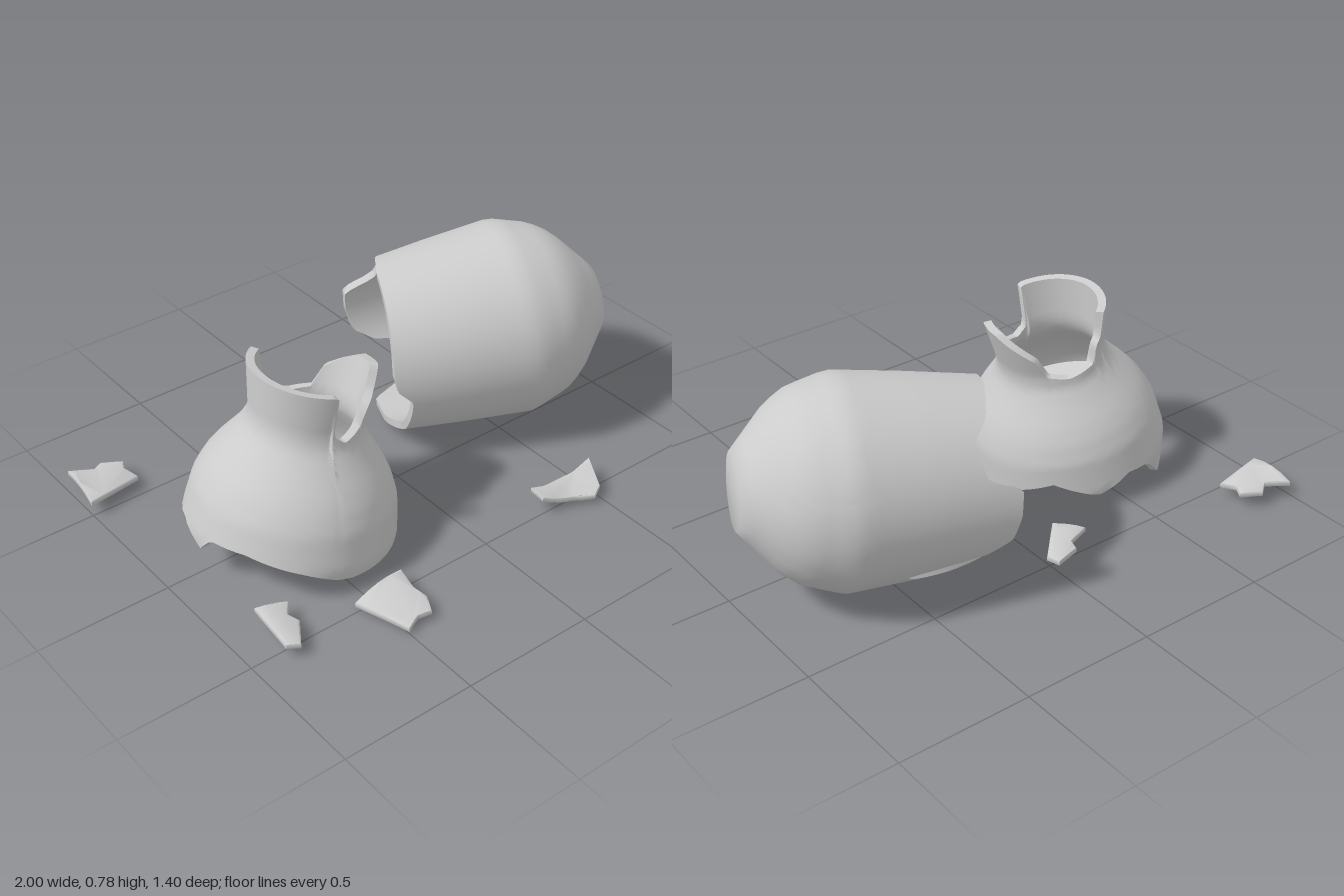
import * as THREE from 'three';
import { toCreasedNormals } from 'three/addons/utils/BufferGeometryUtils.js';

const material = new THREE.MeshStandardMaterial({ color: 0xcccccc, side: THREE.DoubleSide });
const COLS = 112, ROWS = 22, WALL = 0.03;

function makeMesh(name, geo, crease) {
  const mesh = new THREE.Mesh(toCreasedNormals(geo, crease), material);
  mesh.name = name;
  return mesh;
}

function gridGeometry(pos, index) {
  const geo = new THREE.BufferGeometry();
  geo.setAttribute('position', new THREE.Float32BufferAttribute(pos, 3));
  geo.setIndex(index);
  return geo;
}

// Linear lookup in a list of [key, value] pairs
function lookup(pairs, k) {
  if (k <= pairs[0][0]) return pairs[0][1];
  for (let i = 1; i < pairs.length; i++) {
    const [k0, v0] = pairs[i - 1], [k1, v1] = pairs[i];
    if (k <= k1) return v0 + (v1 - v0) * (k - k0) / (k1 - k0);
  }
  return pairs[pairs.length - 1][1];
}

// Broken pottery shell around local y: profile is [height, radius],
// low and high are the broken edges as [degrees, height]
function shell(name, profile, low, high, hasBase) {
  const pos = [], index = [];
  let n = 0;
  for (let i = 0; i < COLS; i++) {
    const deg = i * 360 / COLS, a = THREE.MathUtils.degToRad(deg);
    const lo = lookup(low, deg), hi = lookup(high, deg);
    const section = [];
    if (hasBase) section.push([0.0005, lo]);
    for (let j = 0; j <= ROWS; j++) {
      const s = lo + (hi - lo) * j / ROWS;
      section.push([lookup(profile, s), s]);
    }
    for (let j = ROWS; j >= 0; j--) {
      const from = hasBase ? lo + WALL : lo;
      const s = from + (hi - from) * j / ROWS;
      section.push([lookup(profile, s) - WALL, s]);
    }
    section.push(hasBase ? [0.0005, lo + WALL] : section[0]);
    n = section.length;
    for (const [r, s] of section) pos.push(r * Math.cos(a), s, r * Math.sin(a));
  }
  for (let i = 0; i < COLS; i++) {
    for (let j = 0; j < n - 1; j++) {
      const a = i * n + j, c = ((i + 1) % COLS) * n + j;
      index.push(a, a + 1, c, a + 1, c + 1, c);
    }
  }
  return makeMesh(name, gridGeometry(pos, index), 1.0);
}

// Flat inner panel filling the segment between a chord and the wall
function innerPanel(name, profile, [deg0, s0], [deg1, s1]) {
  const pos = [], index = [], steps = 16;
  const at = (deg, s) => {
    const a = THREE.MathUtils.degToRad(deg), r = lookup(profile, s) - WALL / 2;
    return new THREE.Vector3(r * Math.cos(a), s, r * Math.sin(a));
  };
  const start = at(deg0, s0), end = at(deg1, s1);
  for (let i = 0; i <= steps; i++) {
    const t = i / steps;
    const wall = at(deg0 + (deg1 - deg0) * t, s0 + (s1 - s0) * t);
    pos.push(...start.clone().lerp(end, t).toArray(), ...wall.toArray());
    if (i < steps) index.push(2 * i, 2 * i + 1, 2 * i + 2, 2 * i + 1, 2 * i + 3, 2 * i + 2);
  }
  return makeMesh(name, gridGeometry(pos, index), 1.0);
}

// Thin curved fragment from its plan outline [x, z];
// bend is the curvature across the direction angle, tilt the slopes in x and z
function shard(name, outline, y, bend, angle, tilt) {
  const pts = [];
  outline.forEach(([x, z], i) => {
    const [x2, z2] = outline[(i + 1) % outline.length];
    for (let k = 0; k < 4; k++) pts.push(new THREE.Vector2(x + (x2 - x) * k / 4, -(z + (z2 - z) * k / 4)));
  });
  const geo = new THREE.ExtrudeGeometry(new THREE.Shape(pts), {
    depth: 0.012, bevelEnabled: true, bevelSize: 0.005, bevelOffset: -0.002, bevelThickness: 0.005, bevelSegments: 2,
  });
  geo.rotateX(-Math.PI / 2);
  const cx = outline.reduce((t, p) => t + p[0], 0) / outline.length;
  const cz = outline.reduce((t, p) => t + p[1], 0) / outline.length;
  const p = geo.attributes.position;
  for (let i = 0; i < p.count; i++) {
    const dx = p.getX(i) - cx, dz = p.getZ(i) - cz;
    const d = dx * Math.cos(angle) + dz * Math.sin(angle);
    p.setY(i, p.getY(i) + y + bend * d * d + tilt[0] * dx + tilt[1] * dz);
  }
  return makeMesh(name, geo, 0.7);
}

export function createModel() {
  const group = new THREE.Group();

  // Lower half of the jar, lying on its side with the break facing away from the base
  const lower = shell('lowerJar',
    [[0, 0.136], [0.13, 0.285], [0.2, 0.332], [0.34, 0.376], [0.6, 0.352], [0.9, 0.318]],
    [[0, 0]],
    [[0, 0.9], [18, 0.9], [24, 0.78], [45, 0.74], [62, 0.8], [90, 0.84], [135, 0.87], [168, 0.89], [180, 0.88],
      [190, 0.83], [215, 0.84], [240, 0.84], [262, 0.87], [284, 0.87], [300, 0.72], [317, 0.54], [322, 0.54], [331, 0.8], [342, 0.88], [360, 0.9]],
    true);
  const axis = new THREE.Vector3(-0.935, -0.075, -0.35).normalize();
  const up = new THREE.Vector3().crossVectors(new THREE.Vector3(0.35, 0, -0.935), axis).normalize();
  const side = new THREE.Vector3().crossVectors(axis, up);
  lower.quaternion.setFromRotationMatrix(new THREE.Matrix4().makeBasis(side, axis, up));
  lower.position.set(0.95, 0.43, 0);
  group.add(lower);

  // Shoulder and broken neck, standing slightly tilted
  const profile = [[-0.15, 0.355], [0, 0.38], [0.13, 0.36], [0.2, 0.33], [0.25, 0.298], [0.32, 0.243], [0.37, 0.208], [0.42, 0.2], [0.6, 0.228]];
  const upper = new THREE.Group();
  upper.name = 'upperJar';
  upper.add(
    shell('shoulderAndNeck', profile,
      [[0, 0], [45, -0.015], [90, -0.04], [100, -0.035], [120, 0], [150, 0.03], [172, 0.02], [180, -0.04], [200, 0.01], [210, 0],
        [237, -0.14], [256, 0], [270, 0.02], [290, -0.02], [315, 0.06], [340, 0.02], [360, 0]],
      [[0, 0.59], [25, 0.6], [38, 0.52], [52, 0.5], [60, 0.42], [85, 0.39], [99, 0.42], [103, 0.58], [180, 0.59],
        [238, 0.59], [243, 0.5], [252, 0.48], [258, 0.41], [290, 0.4], [312, 0.42], [322, 0.5], [338, 0.54], [360, 0.59]],
      false),
    innerPanel('innerPanel', profile, [208, 0.13], [41, 0.05]),
  );
  upper.rotation.z = -0.2;
  upper.position.set(-0.505, 0.1, 0.03);
  group.add(upper);

  // Scattered fragments
  group.add(
    shard('backRightShard', [[-0.98, -0.7], [-0.9, -0.65], [-0.86, -0.68], [-0.79, -0.64], [-0.81, -0.6], [-0.79, -0.54], [-1, -0.5]],
      0.06, -1.6, Math.PI / 2, [-0.1, 0]),
    shard('backMiddleShard', [[-0.19, -0.46], [-0.1, -0.49], [-0.09, -0.53], [0, -0.55], [0.01, -0.5], [-0.12, -0.37]],
      0.045, -1.5, 0.8, [-0.08, 0.02]),
    shard('frontRightShard', [[-0.87, 0.34], [-0.76, 0.37], [-0.8, 0.42], [-0.78, 0.46], [-0.84, 0.55], [-0.88, 0.53]],
      0.05, -1.5, 0.2, [-0.1, -0.12]),
    shard('frontMiddleShard', [[-0.56, 0.48], [-0.36, 0.47], [-0.38, 0.56], [-0.37, 0.62], [-0.4, 0.68], [-0.45, 0.67], [-0.5, 0.69]],
      0.035, -1.6, 0, [0.06, -0.08]),
    shard('frontLeftShard', [[0.27, 0.44], [0.55, 0.44], [0.5, 0.55], [0.46, 0.57], [0.39, 0.53], [0.27, 0.5]],
      0.03, 1.7, 0, [0, -0.12]),
  );
  return group;
}
